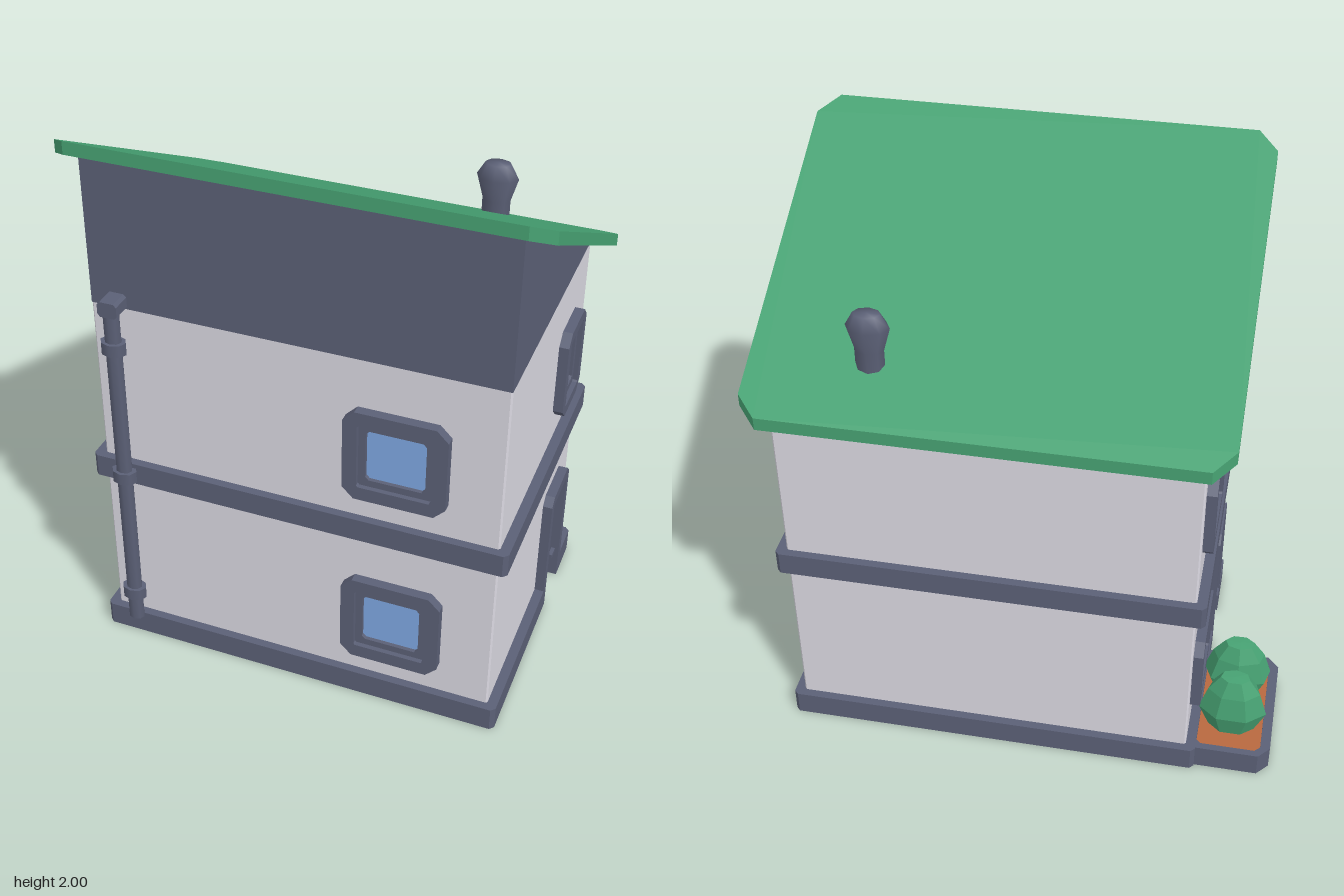
import * as THREE from 'three';

const mat = (name, color, side = THREE.FrontSide) => {
  const m = new THREE.MeshStandardMaterial({ color, side });
  m.name = name;
  return m;
};

export function createModel() {
  const house = new THREE.Group();
  house.name = 'house';
  const wall = mat('pale wall', 0xdad8e1);
  const slate = mat('slate trim', 0x5b6076);
  const green = mat('green', 0x47a273);
  const soilMat = mat('soil', 0xb8683f);
  const glass = mat('window glass', 0x7fa8e2);

  const add = (name, geo, material, parent = house) => {
    const m = new THREE.Mesh(geo, material);
    m.name = name;
    parent.add(m);
    return m;
  };
  const poly = pts => new THREE.Shape(pts.map(p => new THREE.Vector2(...p)));
  const extrude = (shape, depth) =>
    new THREE.ExtrudeGeometry(shape, { depth, bevelEnabled: false });
  // plan shape (x, -z) raised into a slab
  const slab = (shape, y0, y1) =>
    extrude(shape, y1 - y0).rotateX(-Math.PI / 2).translate(0, y0, 0);
  // rectangle with cut corners
  const cutRect = (x0, y0, x1, y1, c) => [
    [x0 + c, y0], [x1 - c, y0], [x1, y0 + c], [x1, y1 - c],
    [x1 - c, y1], [x0 + c, y1], [x0, y1 - c], [x0, y0 + c]];
  const ring = (outer, inner) => {
    const s = poly(outer);
    s.holes.push(new THREE.Path(inner.map(p => new THREE.Vector2(...p))));
    return s;
  };

  // house plan with a notch for the door on each side
  const notched = (x0, x1, z, c) => poly([
    [x0 + c, -z], [x1 - c, -z], [x1, -z + c],
    [x1, 0.165], [0.795, 0.165], [0.795, 0.345], [x1, 0.345],
    [x1, z - c], [x1 - c, z], [x0 + c, z], [x0, z - c],
    [x0, -0.13], [-0.585, -0.13], [-0.585, -0.31], [x0, -0.31], [x0, -z + c]]);

  // walls and trim bands
  add('base', slab(notched(-0.645, 0.855, 0.53, 0.015), 0, 0.09), slate);
  add('lowerWall', slab(notched(-0.61, 0.82, 0.5, 0.006), 0.05, 0.52), wall);
  const body = poly(cutRect(-0.61, -0.5, 0.82, 0.5, 0.006));
  add('upperWall', slab(body, 0.52, 1.4), wall);
  add('floorBand', slab(poly(cutRect(-0.645, -0.53, 0.855, 0.53, 0.015)), 0.7, 0.785), slate);

  // attic wedge under the sloping roof
  add('atticWall', extrude(poly([[-0.5, 1.4], [0.5, 1.4], [0.5, 1.923]]), 1.43)
    .rotateY(-Math.PI / 2).translate(0.82, 0, 0), slate);

  // sloping roof: flat slab sheared along z
  const roof = slab(poly(cutRect(-0.7, -0.555, 0.91, 0.58, 0.07)), 1.664, 1.71);
  const p = roof.attributes.position;
  for (let i = 0; i < p.count; i++) p.setY(i, p.getY(i) + 0.522 * p.getZ(i));
  roof.computeVertexNormals();
  add('roof', roof, green);

  // group lying on a wall: local z points outwards
  const onWall = (name, x, y, z, turn) => {
    const g = new THREE.Group();
    g.name = name;
    g.position.set(x, y, z);
    g.rotation.y = turn * Math.PI / 2;
    house.add(g);
    return g;
  };

  // windows: outer frame, lower inner frame and glass
  const addWindow = (x, y, z, turn, w, h) => {
    const g = onWall('window', x, y, z, turn);
    const rect = (k, c) => cutRect(-w / 2 + k, -h / 2 + k, w / 2 - k, h / 2 - k, c);
    const k = w < 0.3 ? 0.04 : 0.05;
    add('outerFrame', extrude(ring(rect(0, 0.04), rect(k, 0.006)), 0.035), slate, g);
    add('innerFrame', extrude(ring(rect(k, 0.006), rect(k + 0.025, 0.012)), 0.018), slate, g);
    add('pane', extrude(poly(rect(k + 0.02, 0.004)), 0.004), glass, g);
  };
  addWindow(0.4625, 1.05, 0.5, 0, 0.355, 0.345);
  addWindow(0.4625, 0.35, 0.5, 0, 0.355, 0.345);
  addWindow(0.82, 1.05, -0.255, 1, 0.25, 0.345);
  addWindow(-0.61, 1.095, -0.28, -1, 0.35, 0.315);
  addWindow(-0.61, 1.095, 0.23, -1, 0.35, 0.315);
  addWindow(-0.61, 0.368, -0.28, -1, 0.35, 0.315);

  // doors: arch-like frame, recessed leaf and handle
  const addDoor = (x, z, turn, h) => {
    const g = onWall('door', x, 0, z, turn);
    const a = 0.125, b = 0.09, c = 0.03;
    add('doorFrame', extrude(poly([
      [b, 0], [a, 0], [a, h - c], [a - c, h], [c - a, h], [-a, h - c], [-a, 0], [-b, 0],
      [-b, h - 0.05], [0.01 - b, h - 0.04], [b - 0.01, h - 0.04], [b, h - 0.05]]), 0.035), slate, g);
    add('doorLeaf', new THREE.BoxGeometry(0.18, 0.52, 0.008).translate(0, 0.26, -0.021), slate, g);
    add('handlePlate', new THREE.BoxGeometry(0.025, 0.07, 0.015).translate(-0.052, 0.205, -0.01), slate, g);
    add('handleStem', new THREE.BoxGeometry(0.014, 0.014, 0.045).translate(-0.052, 0.212, 0.015), slate, g);
    add('handleLever', new THREE.BoxGeometry(0.045, 0.016, 0.014).translate(-0.04, 0.212, 0.033), slate, g);
  };
  addDoor(0.82, -0.255, 1, 0.52);
  addDoor(-0.61, 0.22, -1, 0.56);

  // drainpipe with collars and a bend into the wall
  add('drainpipe', new THREE.CylinderGeometry(0.03, 0.03, 1.33, 8)
    .scale(1, 1, 0.8).translate(-0.515, 0.755, 0.547), slate);
  for (const y of [0.213, 0.745, 1.275]) {
    add('pipeCollar', new THREE.CylinderGeometry(0.046, 0.046, 0.045, 8)
      .scale(1, 1, 0.75).translate(-0.515, y, 0.547), slate);
  }
  add('pipeElbow', extrude(poly(cutRect(-0.035, -0.028, 0.035, 0.028, 0.01)), 0.075)
    .translate(-0.515, 1.427, 0.497), slate);

  // chimney with a bulbous cap
  const chimneyProfile = [[0.037, 1.42], [0.037, 1.575], [0.055, 1.66], [0.034, 1.71], [0, 1.712]];
  add('chimney', new THREE.LatheGeometry(chimneyProfile.map(q => new THREE.Vector2(...q)), 8)
    .scale(1.35, 1, 0.97).translate(0.505, 0, -0.365), slate);

  // planter box with soil and two bushes
  add('planter', slab(ring(
    [[-0.6, 0.01], [-0.6, 0.51], [-0.87, 0.51], [-0.91, 0.465], [-0.91, 0.055], [-0.87, 0.01]],
    cutRect(-0.875, 0.035, -0.64, 0.485, 0.02)), 0, 0.09), slate);
  add('soil', slab(poly(cutRect(-0.88, 0.03, -0.62, 0.49, 0.02)), 0.002, 0.07), soilMat);
  add('planterBottom', slab(poly(cutRect(-0.88, 0.03, -0.62, 0.49, 0.02)), 0, 0.002), slate);
  const bushProfile = [[0, 0.06], [0.085, 0.065], [0.128, 0.16], [0.098, 0.25], [0.055, 0.31], [0, 0.312]];
  [[-0.35, 0], [-0.165, 0.5]].forEach(([z, turn], i) => {
    const geo = new THREE.LatheGeometry(bushProfile.map(q => new THREE.Vector2(...q)), 7)
      .rotateY(turn).scale(0.98, 1 - i * 0.03, 0.64).toNonIndexed();
    geo.computeVertexNormals();
    add('bush', geo.translate(-0.76, 0, z), green);
  });

  return house;
}
